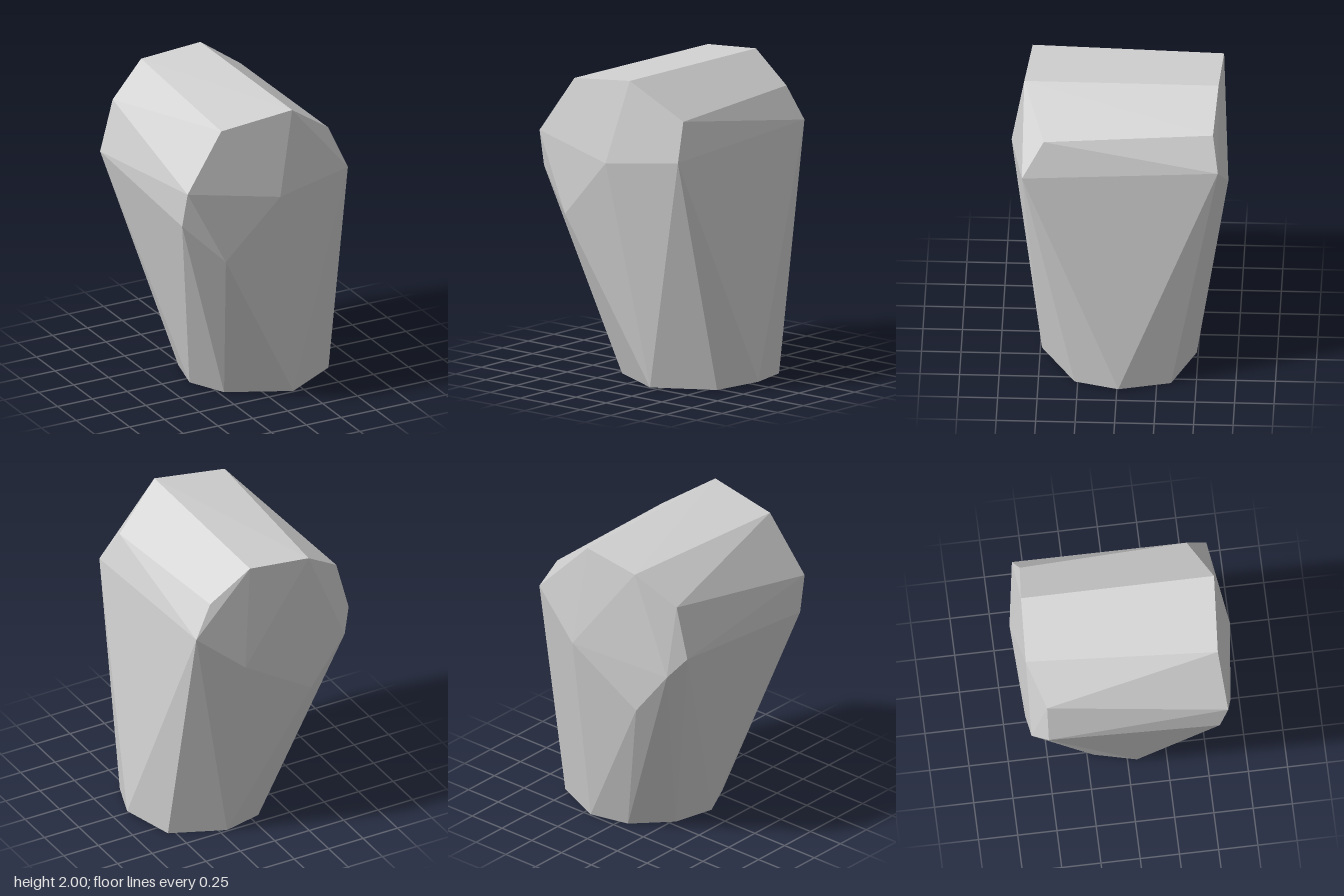
import * as THREE from 'three';
import { ConvexGeometry } from 'three/addons/geometries/ConvexGeometry.js';

export function createModel() {
  const stone = new THREE.MeshStandardMaterial({ color: 0xd1d1d1 });
  stone.name = 'pale grey stone';

  // Nine-sided foot, slightly chipped at +x
  const foot = [
    [0.655, 0.02, -0.01], [0.55, 0, 0.27], [0.18, 0, 0.49], [-0.215, 0, 0.3], [-0.335, 0, 0.06],
    [-0.27, 0, -0.21], [-0.06, 0, -0.43], [0.2, 0, -0.49], [0.545, 0, -0.34],
  ];
  // Corners of the front face, from low to high
  const front = [
    [-0.39, 1.07, 0.65], [-0.65, 1.33, 0.55], [-0.02, 1.46, 0.69], [0.51, 1.525, 0.605],
    [-0.64, 1.57, 0.605], [0.44, 1.76, 0.47], [-0.38, 1.94, 0.57], [0.11, 2, 0.605],
  ];
  // Corners of the back face, from low to high
  const back = [
    [-0.32, 0.99, -0.65], [-0.57, 1.31, -0.64], [0.18, 1.315, -0.69], [-0.655, 1.43, -0.54],
    [0.505, 1.59, -0.635], [-0.565, 1.77, -0.54], [0.385, 1.8, -0.6], [-0.305, 1.957, -0.645],
    [0.11, 1.995, -0.625],
  ];

  // Faceted boulder wrapped around all the corners
  const points = [...foot, ...front, ...back].map((p) => new THREE.Vector3(...p));
  const rock = new THREE.Mesh(new ConvexGeometry(points), stone);
  rock.name = 'rock';

  const group = new THREE.Group();
  group.name = 'standingRock';
  group.add(rock);
  return group;
}
